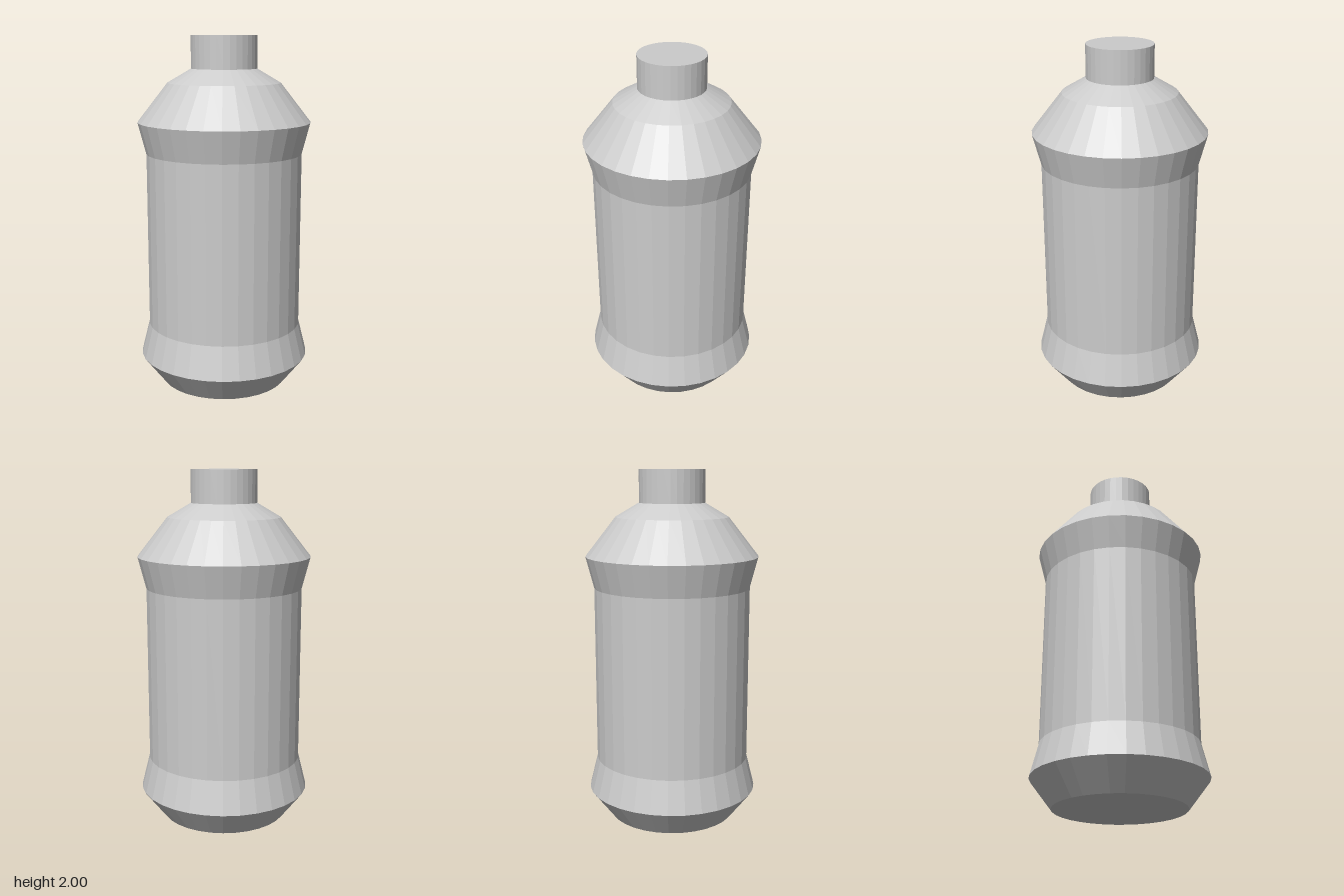
import * as THREE from 'three';

const SIDES = 32;

export function createModel() {
  const model = new THREE.Group();
  model.name = 'bottle';
  const material = new THREE.MeshStandardMaterial({ color: 0xcccccc, flatShading: true });

  // Revolves a bottom-to-top [radius, height] profile around the y axis
  const addTurned = (name, profile) => {
    const points = profile.map(([r, y]) => new THREE.Vector2(r, y));
    const mesh = new THREE.Mesh(new THREE.LatheGeometry(points, SIDES), material);
    mesh.name = name;
    model.add(mesh);
  };

  // Closed base, tapered foot and lower flare
  addTurned('base', [[0, 0], [0.365, 0], [0.488, 0.16], [0.442, 0.345]]);

  // Straight grip section
  addTurned('body', [[0.442, 0.345], [0.442, 1.345]]);

  // Upper flare and two-step shoulder
  addTurned('shoulder', [[0.442, 1.345], [0.488, 1.522], [0.318, 1.739], [0.185, 1.817]]);

  // Neck with flat closed top
  addTurned('neck', [[0.185, 1.817], [0.185, 2], [0, 2]]);

  return model;
}
